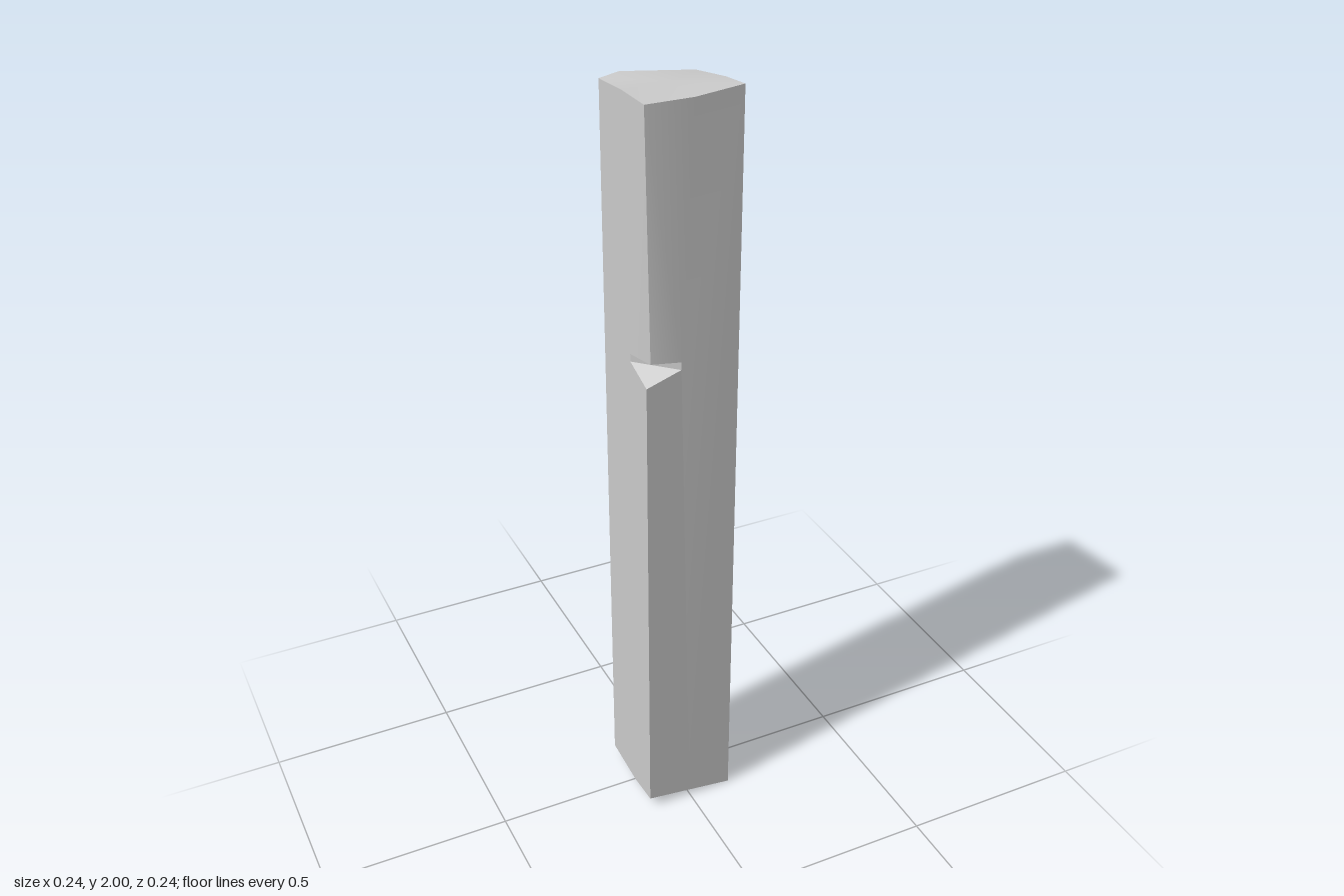
import * as THREE from 'three';
import { toCreasedNormals } from 'three/addons/utils/BufferGeometryUtils.js';

const V = (x, y, z) => new THREE.Vector3(x, y, z);
const AXES = { x: ['y', 'z'], y: ['z', 'x'], z: ['x', 'y'] };

// Triangulates a polygon seen along an axis; sign is the way it faces.
function polygon(out, points, axis, sign) {
  const [u, v] = AXES[axis];
  const flat = points.map((p) => new THREE.Vector2(p[u], p[v]));
  for (const [a, b, c] of THREE.ShapeUtils.triangulateShape(flat, [])) {
    const area = THREE.ShapeUtils.area([flat[a], flat[b], flat[c]]);
    const order = area * sign > 0 ? [a, b, c] : [a, c, b];
    order.forEach((i) => out.push(...points[i].toArray()));
  }
}

// Fan of triangles from a centre point to a closed rim.
function cap(out, rim, centre, sign) {
  rim.forEach((p, i) => polygon(out, [p, rim[(i + 1) % rim.length], centre], 'y', sign));
}

export function createModel() {
  const h = 0.12;
  const tris = [];

  // Uneven sawn ends: corner, mid-edge, corner... starting at front left of the picture plane
  const [tA, tF, tB, tR, tC, tK, tD, tL] = [
    V(-h, 1.988, h), V(0, 1.988, h), V(h, 2, h), V(h, 1.99, 0.03),
    V(h, 1.963, -h), V(-0.07, 1.985, -h), V(-h, 1.976, -h), V(-h, 1.986, 0),
  ];
  const [bA, bF, bB, bR, bC, bK, bD, bL] = [
    V(-h, 0.03, h), V(0, 0.015, h), V(h, 0, h), V(h, 0.03, 0.04),
    V(h, 0.03, -h), V(-0.07, 0.026, -h), V(-h, 0.031, -h), V(-h, 0.02, 0.02),
  ];
  cap(tris, [tA, tF, tB, tR, tC, tK, tD, tL], V(0, 1.986, 0), 1);
  cap(tris, [bA, bF, bB, bR, bC, bK, bD, bL], V(0, 0.028, 0), -1);

  // Upper notch on the front corner, with the corner above it worn inwards
  const tip = V(-h, 1.31, h);
  const lowF = V(-0.03, 1.34, h), highF = V(-0.03, 1.36, h);
  const lowL = V(-h, 1.34, 0.03), highL = V(-h, 1.36, 0.03);
  const worn = V(-0.1, 1.36, 0.1);
  polygon(tris, [tip, lowF, lowL], 'y', 1);
  polygon(tris, [lowF, highF, highL, lowL], 'z', 1);
  polygon(tris, [worn, highF, highL], 'y', -1);
  polygon(tris, [tA, worn, highF, tF], 'z', 1);
  polygon(tris, [tA, worn, highL, tL], 'x', -1);

  // Lower notch on the opposite back corner
  const top = V(h, 1.285, -h), foot = V(h, 1.212, -h);
  const sideR = V(h, 1.271, -0.047), sideK = V(0.045, 1.271, -h);
  polygon(tris, [top, sideR, sideK], 'y', -1);
  polygon(tris, [foot, sideR, sideK], 'y', 1);

  // Four long sides with the notch outlines cut from them
  polygon(tris, [bA, bF, bB, tB, tF, highF, lowF, tip], 'z', 1);
  polygon(tris, [bA, bL, bD, tD, tL, highL, lowL, tip], 'x', -1);
  polygon(tris, [bB, bR, bC, foot, sideR, top, tC, tR, tB], 'x', 1);
  polygon(tris, [bD, bK, bC, foot, sideK, top, tC, tK, tD], 'z', -1);

  const geometry = new THREE.BufferGeometry();
  geometry.setAttribute('position', new THREE.Float32BufferAttribute(tris, 3));
  const post = new THREE.Mesh(
    toCreasedNormals(geometry, 0.4),
    new THREE.MeshStandardMaterial({ color: 0xcccccc }),
  );
  post.name = 'notchedPost';

  const model = new THREE.Group();
  model.name = 'post';
  model.add(post);
  return model;
}
